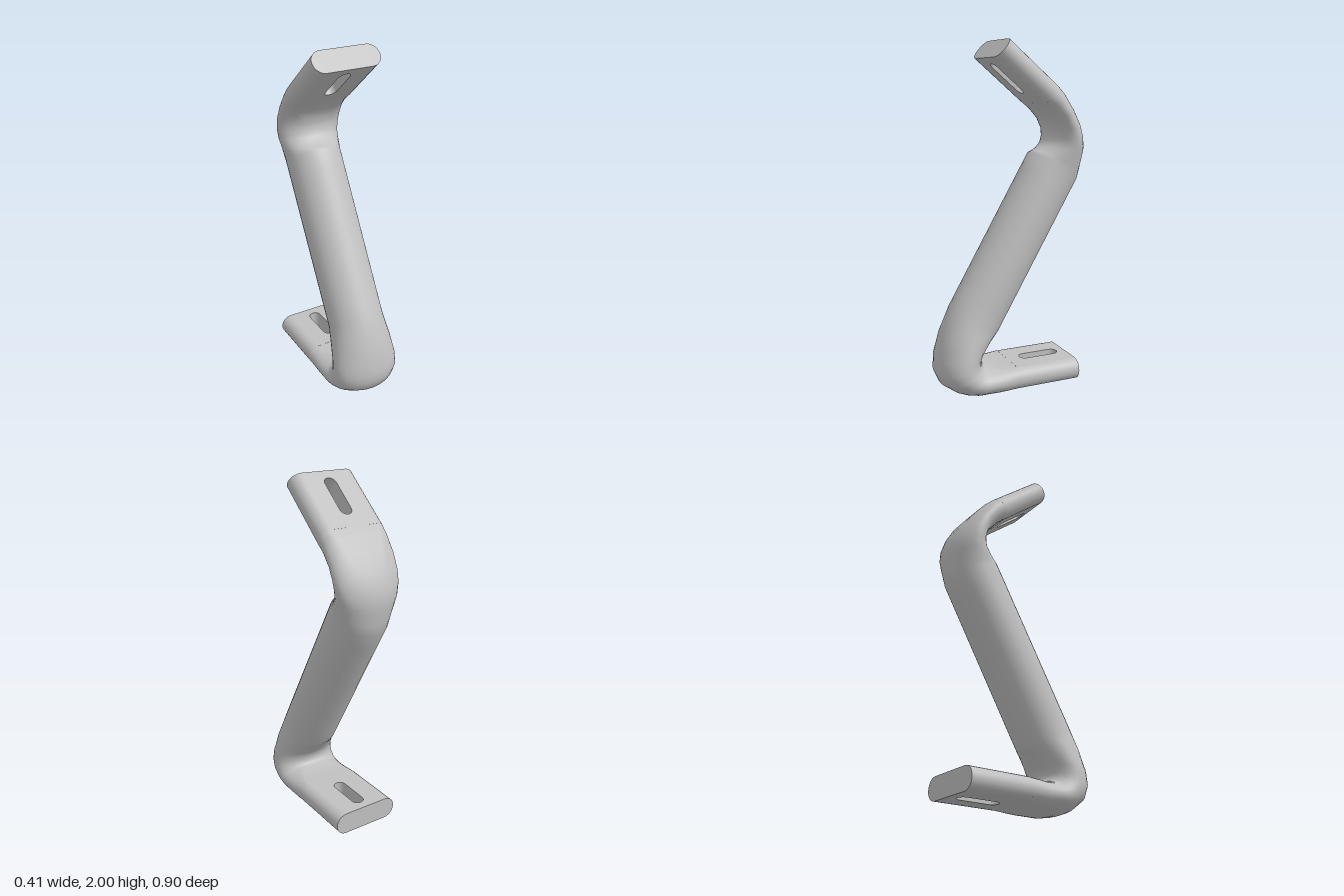
import * as THREE from 'three';

const HALF_W = 0.2, HALF_T = 0.0635, LENGTH = 0.38; // flattened end plates
const SIDES = 32;

// Stations along the bend: [front edge z, y, back edge z, y, half width, roundness]
// roundness 0 = flat stadium section, 1 = ellipse
const STATIONS = [
  [0, 0.0265, 0, 0.1535, 0.2, 0],
  [0.06, 0.019, 0.06, 0.153, 0.2, 0.1],
  [0.116, 0.01, 0.115, 0.156, 0.201, 0.3],
  [0.24, 0.0, 0.165, 0.168, 0.203, 0.7],
  [0.3, 0.008, 0.178, 0.176, 0.203, 0.9],
  [0.35, 0.026, 0.186, 0.187, 0.203, 1],
  [0.418, 0.075, 0.19, 0.205, 0.203, 1],
  [0.448, 0.143, 0.185, 0.23, 0.201, 1],
  [0.444, 0.228, 0.17, 0.255, 0.196, 1],
  [0.413, 0.36, 0.122, 0.31, 0.181, 1],
  [0.35, 0.513, 0.074, 0.355, 0.163, 1],
  [-0.148, 1.376, -0.423, 1.21, 0.163, 1],
  [-0.2, 1.395, -0.445, 1.33, 0.176, 1],
  [-0.238, 1.425, -0.45, 1.395, 0.185, 1],
  [-0.255, 1.46, -0.438, 1.465, 0.194, 1],
  [-0.26, 1.5, -0.407, 1.54, 0.199, 0.85],
  [-0.245, 1.555, -0.35, 1.63, 0.2, 0.5],
  [-0.2, 1.615, -0.285, 1.712, 0.2, 0.2],
  [-0.158, 1.654, -0.239, 1.752, 0.2, 0],
];

// Lofted tube through the stations
function bentTubeGeometry() {
  const rows = [];
  STATIONS.forEach((s, i) => {
    const next = STATIONS[i + 1];
    const steps = !next ? 1 : i === 10 ? 10 : 2;
    for (let k = 0; k < steps; k++) {
      rows.push(next ? s.map((v, c) => v + (next[c] - v) * k / steps) : s);
    }
  });
  const pos = [], idx = [];
  for (const [az, ay, bz, by, w, round] of rows) {
    const t = Math.hypot(bz - az, by - ay) / 2;
    for (let j = 0; j < SIDES; j++) {
      const a = j / SIDES * Math.PI * 2, c = Math.cos(a), s = Math.sin(a);
      const side = Math.abs(c) < 1e-6 ? 0 : Math.sign(c);
      const flat = (w - t) * side + t * c;
      pos.push(flat + (w * c - flat) * round,
        (ay + by) / 2 + (by - ay) / 2 * s,
        (az + bz) / 2 + (bz - az) / 2 * s);
    }
  }
  for (let i = 0; i < rows.length - 1; i++) {
    for (let j = 0; j < SIDES; j++) {
      const k = (j + 1) % SIDES;
      const a = i * SIDES + j, b = i * SIDES + k;
      idx.push(a, b, a + SIDES, b, b + SIDES, a + SIDES);
    }
  }
  const g = new THREE.BufferGeometry();
  g.setAttribute('position', new THREE.Float32BufferAttribute(pos, 3));
  g.setIndex(idx);
  g.computeVertexNormals();
  return g;
}

// Flattened plate with rounded sides and a slot, running from its end along +z
function mountingPlate(name, material) {
  const group = new THREE.Group();
  group.name = name;
  const inner = HALF_W - HALF_T;
  const shape = new THREE.Shape();
  shape.moveTo(-inner, -LENGTH);
  shape.lineTo(inner, -LENGTH);
  shape.lineTo(inner, 0);
  shape.lineTo(-inner, 0);
  shape.closePath();

  const r = 0.036, near = -0.175 + 0.088, far = -0.175 - 0.088;
  const slot = new THREE.Path();
  slot.absarc(0, near, r, 0, Math.PI, false);
  slot.absarc(0, far, r, Math.PI, Math.PI * 2, false);
  slot.closePath();
  shape.holes.push(slot);

  const body = new THREE.ExtrudeGeometry(shape, { depth: HALF_T * 2, bevelEnabled: false, curveSegments: 8 });
  body.rotateX(-Math.PI / 2);
  body.translate(0, -HALF_T, 0);
  const slotted = new THREE.Mesh(body, material);
  slotted.name = 'slottedPlate';
  group.add(slotted);

  for (const side of [1, -1]) {
    const edge = new THREE.CylinderGeometry(HALF_T, HALF_T, LENGTH, 12, 1, false, side > 0 ? 0 : Math.PI, Math.PI);
    edge.rotateX(Math.PI / 2);
    edge.translate(side * inner, 0, LENGTH / 2);
    const mesh = new THREE.Mesh(edge, material);
    mesh.name = side > 0 ? 'leftRoundedEdge' : 'rightRoundedEdge';
    group.add(mesh);
  }
  return group;
}

export function createModel() {
  const model = new THREE.Group();
  model.name = 'bentTubeBracket';
  const metal = new THREE.MeshStandardMaterial({ color: 0xc0c0c0 });
  metal.name = 'grey metal';

  const tube = new THREE.Mesh(bentTubeGeometry(), metal);
  tube.name = 'bentTube';
  model.add(tube);

  const foot = mountingPlate('footPlate', metal);
  foot.position.set(0, 0.09, -0.38);
  model.add(foot);

  const head = mountingPlate('headPlate', metal);
  head.position.set(0, 1.947, 0.0925);
  head.rotation.x = THREE.MathUtils.degToRad(140);
  model.add(head);
  return model;
}
